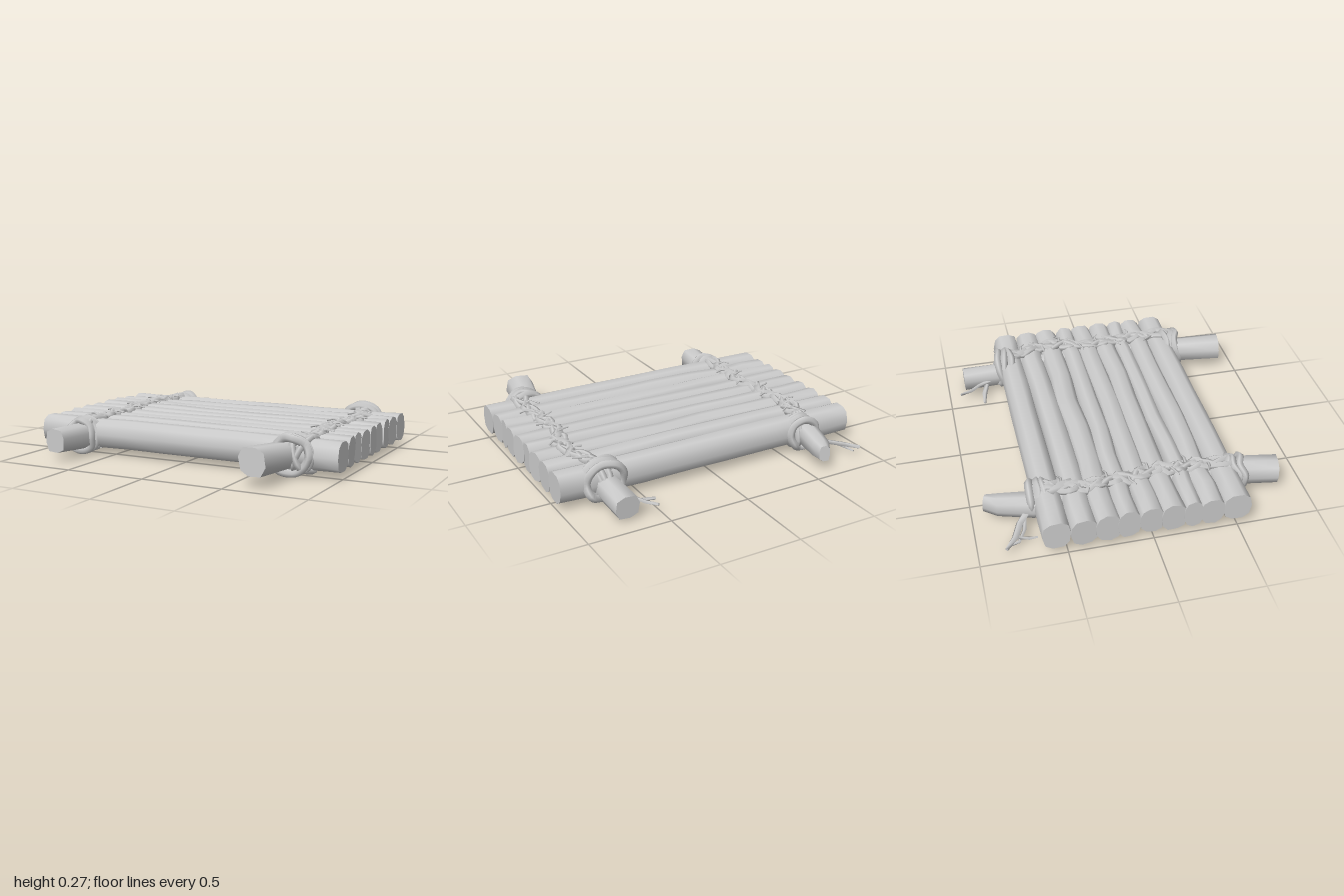
import * as THREE from 'three';

const material = new THREE.MeshStandardMaterial({ color: 0xcccccc, side: THREE.DoubleSide });

let seed = 7;
function rand(amount = 1) {
  seed = (seed * 16807) % 2147483647;
  return ((seed / 2147483647) * 2 - 1) * amount;
}

// Rough pole through sections [x, y, z, half width, half height], with capped ends.
function pole(name, sections, sides, rough) {
  const pos = [], index = [];
  const points = sections.map((s) => new THREE.Vector3(s[0], s[1], s[2]));
  const up = new THREE.Vector3(0, 1, 0);
  const grain = Array.from({ length: sides }, () => 1 + rand(rough));
  const turn = rand(0.3);
  const rings = points.map((c, r) => {
    const t = points[Math.min(r + 1, points.length - 1)].clone().sub(points[Math.max(r - 1, 0)]).normalize();
    const side = up.clone().cross(t).normalize();
    const top = t.clone().cross(side);
    return grain.map((g, k) => {
      const a = (k / sides) * Math.PI * 2 + turn;
      const m = g + rand(rough * 0.6);
      // slightly squared oval outline
      const box = (v) => Math.sign(v) * Math.abs(v) ** 0.8;
      return c.clone()
        .addScaledVector(side, box(Math.cos(a)) * sections[r][3] * m)
        .addScaledVector(top, box(Math.sin(a)) * sections[r][4] * m);
    });
  });
  rings.forEach((ring, r) => ring.forEach((p, k) => {
    pos.push(p.x, p.y, p.z);
    if (r === rings.length - 1) return;
    const a = r * sides + k, b = r * sides + ((k + 1) % sides);
    index.push(a, b, b + sides, a, b + sides, a + sides);
  }));
  // separate cap vertices keep the cut ends sharp
  for (const last of [false, true]) {
    const r = last ? rings.length - 1 : 0, start = pos.length / 3;
    pos.push(...points[r].toArray());
    rings[r].forEach((p) => pos.push(p.x, p.y, p.z));
    for (let k = 0; k < sides; k++) {
      const a = start + 1 + k, b = start + 1 + ((k + 1) % sides);
      index.push(start, last ? a : b, last ? b : a);
    }
  }
  const geo = new THREE.BufferGeometry();
  geo.setAttribute('position', new THREE.Float32BufferAttribute(pos, 3));
  geo.setIndex(index);
  geo.computeVertexNormals();
  const mesh = new THREE.Mesh(geo, material);
  mesh.name = name;
  return mesh;
}

// Rope along a closed loop of points.
function rope(name, points, radius, segments) {
  const curve = new THREE.CatmullRomCurve3(points, true);
  const mesh = new THREE.Mesh(new THREE.TubeGeometry(curve, segments, radius, 5, true), material);
  mesh.name = name;
  return mesh;
}

// Frayed strand: a thin bent pole through a few points.
function strand(name, points, width) {
  return pole(name, points.map((p, i) => [...p, width * (i === points.length - 1 ? 0.5 : 1), width * 0.6]), 4, 0.1);
}

// Interpolate [z, x] pairs
function xAt(line, z) {
  let i = 0;
  while (i < line.length - 2 && z > line[i + 1][0]) i++;
  const [[z0, x0], [z1, x1]] = [line[i], line[i + 1]];
  return THREE.MathUtils.lerp(x0, x1, THREE.MathUtils.clamp((z - z0) / (z1 - z0), 0, 1));
}

export function createModel() {
  seed = 7;
  const raft = new THREE.Group();
  raft.name = 'raft';

  // Deck logs lie side by side along x
  const edges = [-0.64, -0.48, -0.34, -0.2, -0.08, 0.05, 0.18, 0.28, 0.41, 0.58];
  const logs = new THREE.Group();
  logs.name = 'deckLogs';
  for (let i = 0; i < edges.length - 1; i++) {
    const z = (edges[i] + edges[i + 1]) / 2, half = (edges[i + 1] - edges[i]) / 2;
    const outer = i === 0 || i === edges.length - 2;
    const stations = [-1, -0.82, -0.66, -0.42, -0.14, 0.14, 0.42, 0.66, 0.82, 1];
    const sections = stations.map((x) => {
      const end = Math.abs(x) === 1;
      return [
        end ? x * (0.995 + rand(0.005)) : x + rand(0.04),
        0.139 + rand(0.003),
        z + (outer ? 0 : rand(0.012)),
        half + (outer ? 0 : 0.008),
        end ? 0.09 : 0.091,
      ];
    });
    logs.add(pole('deckLog', sections, 10, 0.05));
  }
  raft.add(logs);

  // Cross beams run through the lashings and stick out front and back
  raft.add(pole('rightCrossBeam', [
    [-0.60, 0.12, -0.92, 0.035, 0.05], [-0.63, 0.115, -0.84, 0.06, 0.06], [-0.68, 0.12, -0.64, 0.07, 0.07],
    [-0.69, 0.135, -0.5, 0.06, 0.06], [-0.67, 0.135, 0.4, 0.06, 0.06], [-0.67, 0.135, 0.6, 0.075, 0.08],
    [-0.71, 0.135, 0.84, 0.078, 0.075],
  ], 8, 0.06));
  raft.add(pole('leftCrossBeam', [
    [0.71, 0.095, -0.89, 0.075, 0.07], [0.71, 0.1, -0.64, 0.07, 0.075], [0.73, 0.135, -0.5, 0.06, 0.06],
    [0.72, 0.135, 0.4, 0.06, 0.06], [0.68, 0.135, 0.6, 0.075, 0.08], [0.63, 0.15, 0.9, 0.088, 0.085],
  ], 8, 0.06));

  // Lashings: ropes loop over and under the whole deck, dipping between logs
  const lines = {
    right: [[-0.64, -0.63], [-0.42, -0.7], [-0.1, -0.69], [0.1, -0.66], [0.4, -0.67], [0.6, -0.68]],
    left: [[-0.64, 0.72], [-0.5, 0.74], [-0.3, 0.82], [0, 0.75], [0.3, 0.78], [0.55, 0.78], [0.6, 0.74]],
  };
  for (const [label, line] of Object.entries(lines)) {
    const group = new THREE.Group();
    group.name = label + 'Lashing';
    const stops = edges.slice(0, -1).flatMap((e, i) => (i ? [e] : []).concat((e + edges[i + 1]) / 2));
    for (const phase of [0, 1, 2]) {
      const at = (z, i, y) => new THREE.Vector3(
        xAt(line, z) + Math.sin(i * 1.6 + phase * 2.1) * 0.035 + rand(0.012), y + rand(0.004), z + rand(0.01));
      const tops = stops.map((z, i) => at(z, i, i % 2 ? 0.213 : 0.23));
      const bottoms = stops.map((z, i) => at(z, i + 2, i % 2 ? 0.06 : 0.043)).reverse();
      group.add(rope('deckRope', [
        at(-0.645, 0, 0.15), ...tops, at(0.59, 5, 0.2), at(0.6, 6, 0.08), ...bottoms, at(-0.645, 3, 0.07),
      ], 0.021, 110));
    }
    // Short hitches bind each pair of logs
    for (let i = 1; i < edges.length - 1; i++) {
      const z = edges[i], x = xAt(line, z), lean = i % 2 ? 0.04 : -0.04;
      group.add(strand('topHitch', [
        [x - lean, 0.22, z - 0.07], [x + rand(0.01), 0.232, z], [x + lean, 0.22, z + 0.07],
      ], 0.028));
      group.add(strand('bottomHitch', [
        [x + lean, 0.05, z - 0.07], [x + rand(0.01), 0.038, z], [x - lean, 0.05, z + 0.07],
      ], 0.03));
      // Loose ends
      const dir = i % 2 ? 1 : -1;
      group.add(strand('looseEnd', [
        [x, 0.235, z], [x + dir * 0.05, 0.243, z + 0.015 + rand(0.02)], [x + dir * 0.085, 0.235, z + rand(0.04)],
      ], 0.009));
    }
    // Knotted collars where the beams leave the deck
    for (const z of [-0.61, 0.57]) {
      const x = xAt(line, z) - (label === 'left' && z > 0 ? 0.04 : 0);
      const rx = label === 'left' ? 0.115 : 0.085;
      const lift = label === 'left' ? (z < 0 ? 0.014 : 0.006) : 0;
      for (let turn = 0; turn < 3; turn++) {
        const ring = Array.from({ length: 9 }, (_, k) => {
          const a = (k / 9) * Math.PI * 2;
          return new THREE.Vector3(
            x + Math.cos(a) * (rx + rand(0.012)),
            0.134 + lift + Math.sin(a) * (0.095 + lift * 0.7 + rand(0.005)),
            z + (turn - 1) * 0.035 + rand(0.018));
        });
        group.add(rope('collarRope', ring, 0.025, 40));
      }
    }
    raft.add(group);
  }

  // Frayed rope tails behind the back corners
  const tails = new THREE.Group();
  tails.name = 'frayedTails';
  tails.add(
    strand('tail', [[-0.7, 0.1, -0.68], [-0.78, 0.08, -0.74], [-0.87, 0.06, -0.78], [-0.94, 0.05, -0.84]], 0.022),
    strand('tail', [[-0.72, 0.08, -0.7], [-0.82, 0.06, -0.72], [-0.88, 0.035, -0.76], [-0.9, 0.03, -0.83]], 0.012),
    strand('tail', [[-0.86, 0.05, -0.76], [-0.865, 0.035, -0.7], [-0.86, 0.03, -0.65]], 0.012),
    strand('tail', [[0.66, 0.1, -0.7], [0.62, 0.09, -0.8], [0.58, 0.08, -0.86], [0.54, 0.09, -0.93]], 0.016),
    strand('tail', [[0.66, 0.07, -0.74], [0.57, 0.05, -0.77], [0.48, 0.04, -0.78]], 0.015),
  );
  raft.add(tails);
  return raft;
}
